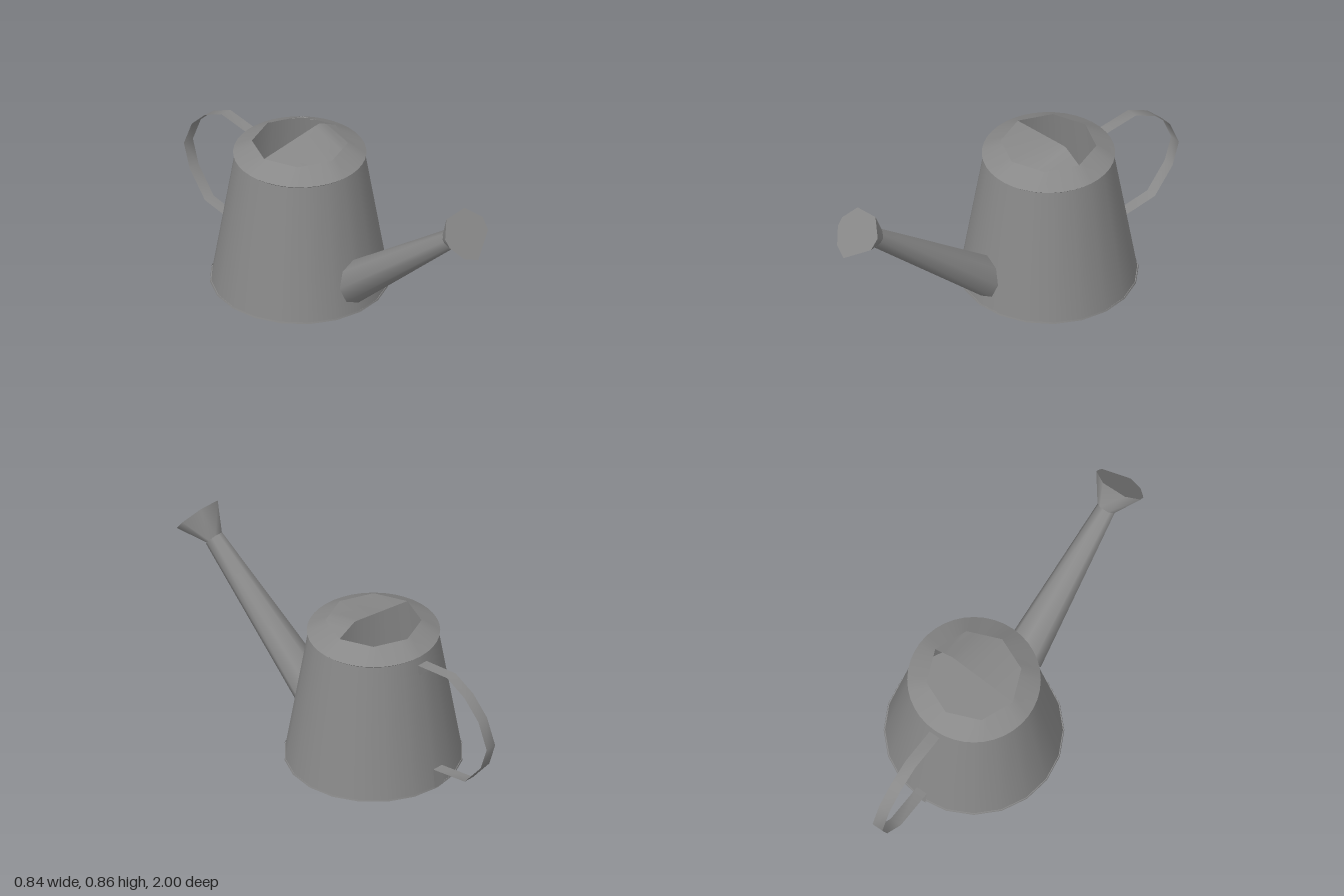
import * as THREE from 'three';

const CZ = -0.23; // body axis
const SIDES = 20;

// Smooth skin through a list of rings (each a list of [x, y, z] points)
function loft(rings, closed = true) {
  const n = rings[0].length;
  const index = [];
  for (let r = 0; r < rings.length - 1; r++) {
    for (let i = 0; i < (closed ? n : n - 1); i++) {
      const a = r * n + i, b = r * n + (i + 1) % n;
      index.push(a, b, b + n, a, b + n, a + n);
    }
  }
  const g = new THREE.BufferGeometry();
  g.setAttribute('position', new THREE.Float32BufferAttribute(rings.flat(2), 3));
  g.setIndex(index);
  g.computeVertexNormals();
  return g;
}

// Ring of points made by a rule of the angle
const ring = (n, rule) => Array.from({ length: n }, (_, i) => rule((i / n) * Math.PI * 2));

// Distance from the centre to the edge of an octagon
function octagon(a, r) {
  const step = Math.PI / 4;
  const m = ((a % step) + step) % step;
  return r * Math.cos(step / 2) / Math.cos(m - step / 2);
}

export function createModel() {
  const model = new THREE.Group();
  model.name = 'wateringCan';
  const metal = new THREE.MeshStandardMaterial({ color: 0x888888, side: THREE.DoubleSide });
  metal.name = 'grey metal';

  const add = (name, geometry) => {
    const mesh = new THREE.Mesh(geometry, metal);
    mesh.name = name;
    model.add(mesh);
    return mesh;
  };

  // Tapered body, bottom rim and floor
  add('body', new THREE.CylinderGeometry(0.3, 0.412, 0.68, SIDES, 1, true)).position.set(0, 0.34, CZ);
  add('bottomRim', new THREE.CylinderGeometry(0.416, 0.418, 0.008, SIDES, 1, true)).position.set(0, 0.004, CZ);
  add('floor', new THREE.CircleGeometry(0.415, SIDES).rotateX(Math.PI / 2)).position.set(0, 0.004, CZ);

  // Sloping shoulder from the round rim to an eight-sided mouth
  const n = 40;
  const circle = (r, y) => ring(n, a => [Math.sin(a) * r, y, CZ + Math.cos(a) * r]);
  const mouth = a => {
    const r = octagon(a, 0.222);
    return [Math.sin(a) * r, 0.735, CZ + Math.cos(a) * r];
  };
  add('shoulderEdge', loft([circle(0.3, 0.672), circle(0.309, 0.68)]));
  add('shoulder', loft([circle(0.309, 0.68), ring(n, mouth)]));

  // Hood over the front half of the mouth, rising to an off-centre peak
  const front = [], back = [];
  for (let i = 0; i <= 20; i++) {
    const p = mouth((i / 20 - 0.5) * Math.PI);
    const x = p[0];
    const rise = 0.05 * Math.max(0, Math.min((0.222 - x) / 0.1, (x + 0.222) / 0.344));
    front.push(p);
    back.push([x, 0.735 + rise, CZ]);
  }
  add('hood', loft([front, back], false));

  // Spout: its wide end follows the body wall, its narrow end is tilted
  const tilt = new THREE.Vector2(-0.62, 0.785); // z, y direction across the tip
  const spoutBase = ring(8, a => {
    const y = 0.153 - Math.cos(a) * 0.108;
    return [Math.sin(a) * 0.1, y, 0.182 - 0.165 * y];
  });
  const spoutTip = ring(8, a => {
    const v = -Math.cos(a) * 0.046;
    return [Math.sin(a) * 0.046, 0.695 + v * tilt.y, 0.812 + v * tilt.x];
  });
  add('spout', loft([spoutBase, spoutTip]));

  // Sprinkler head: slightly uneven eight-sided cone with a flat face
  const outline = [[0, 0.665], [0.12, 0.75], [0.122, 0.8], [0.05, 0.86],
    [-0.07, 0.85], [-0.123, 0.785], [-0.12, 0.75], [-0.07, 0.69]];
  const headRim = outline.map(([x, y]) => [x, y, 0.925 - (y - 0.765) * 0.77]);
  const headNeck = headRim.map(([x, y, z]) =>
    [x * 0.37, 0.695 + (y - 0.765) * 0.37, 0.812 + (z - 0.925) * 0.37]);
  add('sprinklerHead', loft([headNeck, headRim]));
  add('sprinklerFace', loft([headRim, headRim.map(() => [0, 0.765, 0.925])]));

  // Handle: flat strap with a tab against the body at each end (z, y)
  const path = [[-0.552, 0.59], [-0.545, 0.642], [-0.735, 0.663], [-0.85, 0.605], [-0.94, 0.515],
    [-0.994, 0.385], [-0.955, 0.265], [-0.85, 0.14], [-0.645, 0.11], [-0.655, 0.012]];
  // Separate corners keep the tabs sharp against the bow
  const strap = points => loft(points.map(([z, y]) => [[-0.032, y, z], [0.024, y, z]]), false);
  add('upperTab', strap(path.slice(0, 2)));
  add('handle', strap(path.slice(1, 9)));
  add('lowerTab', strap(path.slice(8)));

  return model;
}
